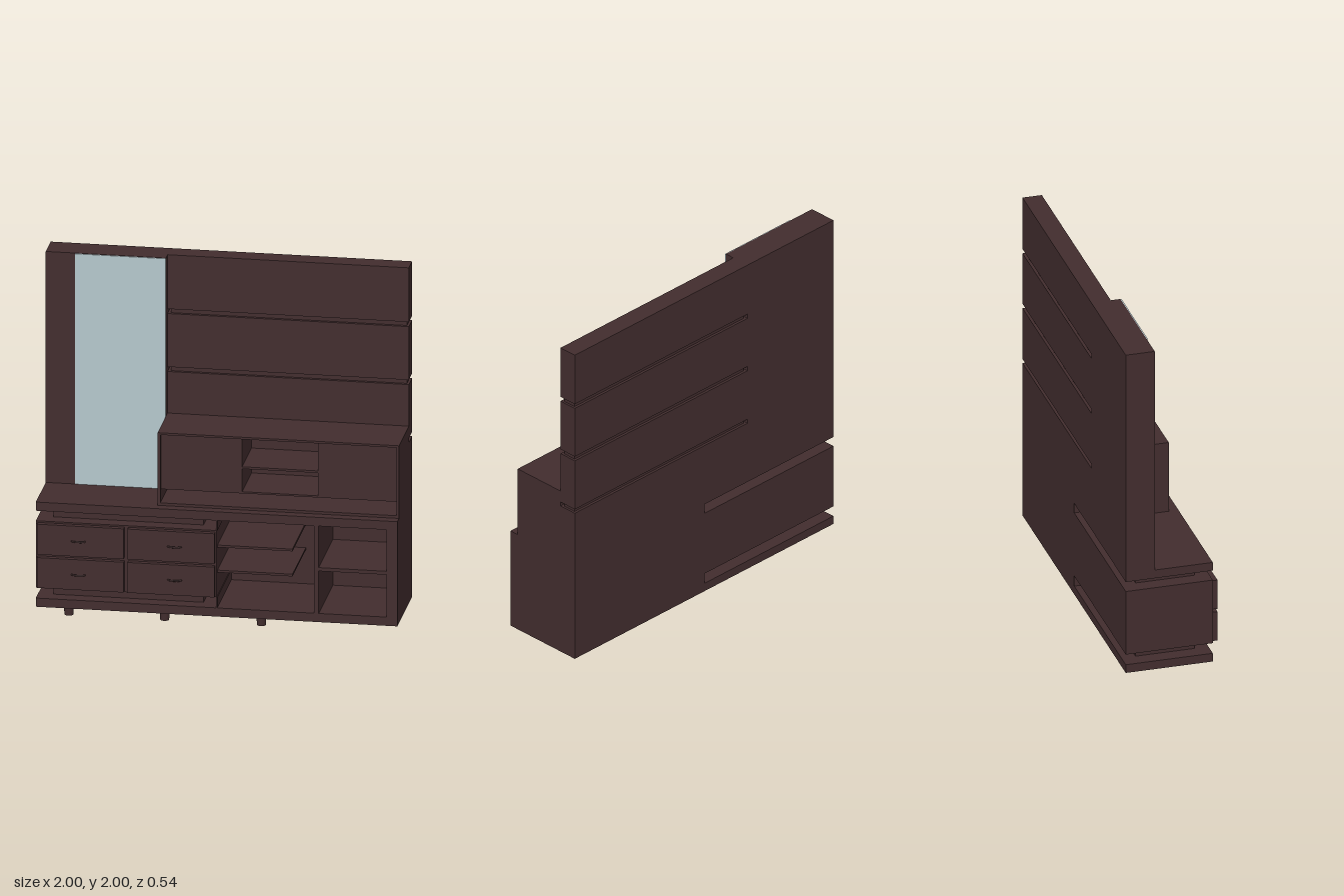
import * as THREE from 'three';

export function createModel() {
  const model = new THREE.Group();
  model.name = 'wallUnit';
  const wood = new THREE.MeshStandardMaterial({ color: 0x422d2e });
  wood.name = 'dark wood';
  const glass = new THREE.MeshStandardMaterial({ color: 0xb5c7cc });
  glass.name = 'mirror glass';

  // Box given by its low and high limits on each axis
  function box(name, [x0, x1], [y0, y1], [z0, z1], material = wood) {
    const mesh = new THREE.Mesh(new THREE.BoxGeometry(x1 - x0, y1 - y0, z1 - z0), material);
    mesh.position.set((x0 + x1) / 2, (y0 + y1) / 2, (z0 + z1) / 2);
    mesh.name = name;
    model.add(mesh);
    return mesh;
  }

  const back = -0.27, front = 0.225;
  const depth = [back, front];
  const inner = [back + 0.02, front];

  // Lower cabinet: boards, carcass and dividers
  box('bottomBoard', [-1, 1], [0.06, 0.11], depth);
  box('topBoard', [-1, 1], [0.615, 0.665], depth);
  box('lowerBackPanel', [0, 1], [0.11, 0.615], [back, back + 0.02]);
  box('rightEndPanel', [0.94, 1], [0.11, 0.615], inner);
  box('cubbyDivider', [0.54, 0.565], [0.11, 0.615], inner);
  box('cubbyShelf', [0.565, 0.94], [0.355, 0.375], inner);
  for (const y of [0.305, 0.45]) {
    box('openShelf', [0, 0.415], [y, y + 0.013], [back + 0.02, 0.195]);
  }

  // Drawer block held between two inset spacers
  box('drawerBlock', [-1, 0], [0.172, 0.557], depth);
  for (const y of [[0.11, 0.172], [0.557, 0.615]]) {
    box('drawerSpacer', [-0.915, -0.085], y, [back + 0.08, front - 0.08]);
    box('spacerEndWall', [-0.002, 0.004], y, depth);
  }

  // Drawer fronts with bowed handles
  const handleShape = new THREE.TorusGeometry(0.036, 0.005, 8, 16, Math.PI);
  handleShape.rotateX(Math.PI / 2);
  handleShape.scale(1, 1, 0.4);
  for (const x of [-0.99, -0.488]) {
    for (const y of [0.18, 0.373]) {
      box('drawerFront', [x, x + 0.48], [y, y + 0.175], [front, 0.255]);
      const handle = new THREE.Mesh(handleShape, wood);
      handle.name = 'drawerHandle';
      handle.position.set(x < -0.6 ? -0.76 : -0.228, y + 0.088, 0.255);
      model.add(handle);
    }
  }

  // Round feet
  const footShape = new THREE.CylinderGeometry(0.027, 0.025, 0.06, 16);
  for (const x of [-0.83, -0.3, 0.235]) {
    for (const z of [0.148, -0.138]) {
      const foot = new THREE.Mesh(footShape, wood);
      foot.name = 'foot';
      foot.position.set(x, 0.03, z);
      model.add(foot);
    }
  }

  // Tall column with mirror
  box('mirrorColumn', [-1, -0.335], [0.665, 2], [back, -0.105]);
  box('mirror', [-0.837, -0.335], [0.667, 1.998], [-0.105, -0.098], glass);

  // Back planks, with an inset core showing in the grooves
  const wide = [-0.335, 1];
  for (const y of [[0.665, 0.99], [1.015, 1.325], [1.352, 1.66], [1.687, 2]]) {
    box('backPlank', wide, y, [back, -0.16]);
  }
  for (const y of [[0.99, 1.015], [1.325, 1.352], [1.66, 1.687]]) {
    box('grooveCore', [-0.32, 0.987], y, [back + 0.015, -0.178]);
  }

  // Upper cabinet: outer shell
  const shell = [-0.16, 0.17];
  const inset = [-0.16, 0.155];
  box('upperTop', wide, [1.073, 1.085], shell);
  box('upperFloor', wide, [0.665, 0.68], shell);
  box('upperLeftSide', [-0.335, -0.32], [0.68, 1.073], shell);
  box('upperRightSide', [0.987, 1], [0.68, 1.073], shell);

  // Upper cabinet: closed compartments on each side of an open one
  box('upperLongShelf', [-0.32, 0.987], [0.755, 0.765], inset);
  box('leftCompartment', [-0.32, 0.13], [0.765, 1.073], inset);
  box('rightCompartment', [0.55, 0.987], [0.765, 1.073], inset);
  box('upperMiddleShelf', [0.13, 0.55], [0.897, 0.909], inset);

  return model;
}
